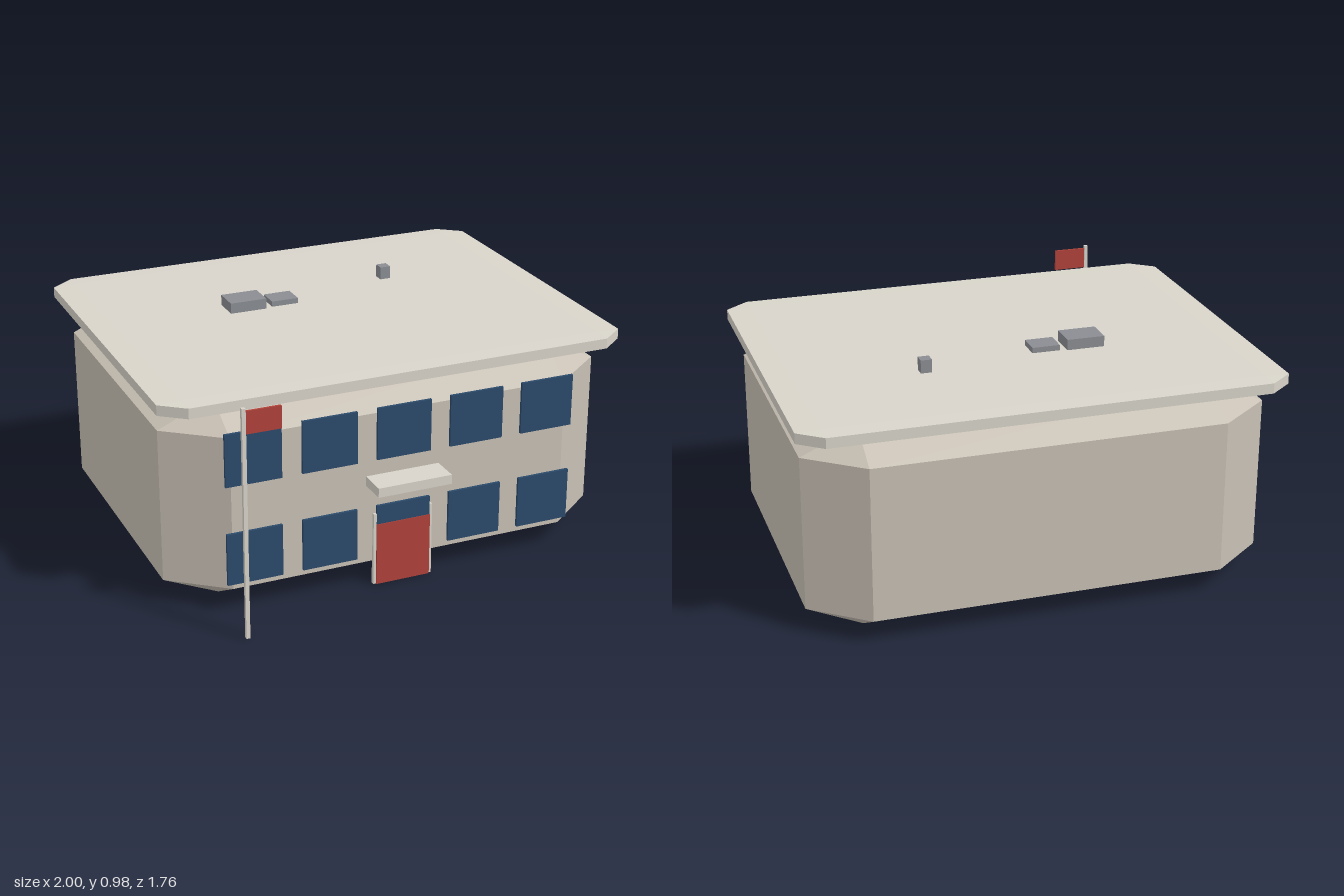
import * as THREE from 'three';
import { ConvexGeometry } from 'three/addons/geometries/ConvexGeometry.js';

const paint = (color) => new THREE.MeshStandardMaterial({ color, flatShading: true });

// Box with every edge and corner cut off; the cut is a fraction of each side.
function chamferedBox(w, h, d, cut) {
  const half = new THREE.Vector3(w, h, d).multiplyScalar(0.5);
  const inner = half.clone().multiplyScalar(1 - 2 * cut);
  const points = [];
  for (const sx of [-1, 1]) for (const sy of [-1, 1]) for (const sz of [-1, 1]) {
    const sign = new THREE.Vector3(sx, sy, sz);
    for (const axis of ['x', 'y', 'z']) {
      const p = inner.clone();
      p[axis] = half[axis];
      points.push(p.multiply(sign));
    }
  }
  return new ConvexGeometry(points);
}

export function createModel() {
  const model = new THREE.Group();
  model.name = 'building';
  const wall = paint(0xc8c0b4);
  const trim = paint(0xd8d4ca);
  const glass = paint(0x2b4a6b);
  const red = paint(0xb0413a);
  const metal = paint(0x8a8d92);

  // Places a mesh between minimum and maximum corners; a cut chamfers it.
  function block(name, material, [x0, y0, z0], [x1, y1, z1], cut = 0, parent = model) {
    const size = [x1 - x0, y1 - y0, z1 - z0];
    const geometry = cut ? chamferedBox(...size, cut) : new THREE.BoxGeometry(...size);
    const mesh = new THREE.Mesh(geometry, material);
    mesh.name = name;
    mesh.position.set((x0 + x1) / 2, (y0 + y1) / 2, (z0 + z1) / 2);
    parent.add(mesh);
    return mesh;
  }

  // Main body and overhanging roof slab
  block('body', wall, [-0.96, 0, -0.84], [0.96, 0.855, 0.66], 0.12);
  block('roof', trim, [-1, 0.872, -0.88], [1, 0.92, 0.69], 0.05);

  // Two rows of five windows
  const windows = new THREE.Group();
  windows.name = 'windows';
  model.add(windows);
  for (const y of [0.13, 0.555]) {
    for (let i = -2; i <= 2; i++) {
      const x = i * 0.32;
      block('window', glass, [x - 0.117, y, 0.664], [x + 0.117, y + 0.222, 0.676], 0, windows);
    }
  }

  // Entrance
  block('doorFrame', trim, [-0.13, 0, 0.657], [0.13, 0.315, 0.673]);
  block('door', red, [-0.118, 0, 0.662], [0.118, 0.27, 0.679]);
  block('canopy', trim, [-0.16, 0.445, 0.658], [0.16, 0.485, 0.782]);

  // Flagpole and flag
  block('flagpole', trim, [-0.759, 0, 0.861], [-0.743, 0.965, 0.877]);
  block('flag', red, [-0.743, 0.86, 0.864], [-0.6, 0.953, 0.874]);

  // Rooftop equipment
  block('largeRoofUnit', metal, [-0.405, 0.918, -0.3], [-0.245, 0.965, -0.182]);
  block('smallRoofUnit', metal, [-0.215, 0.918, -0.29], [-0.097, 0.943, -0.192]);
  block('roofVent', metal, [0.352, 0.918, -0.371], [0.398, 0.975, -0.325]);

  return model;
}
